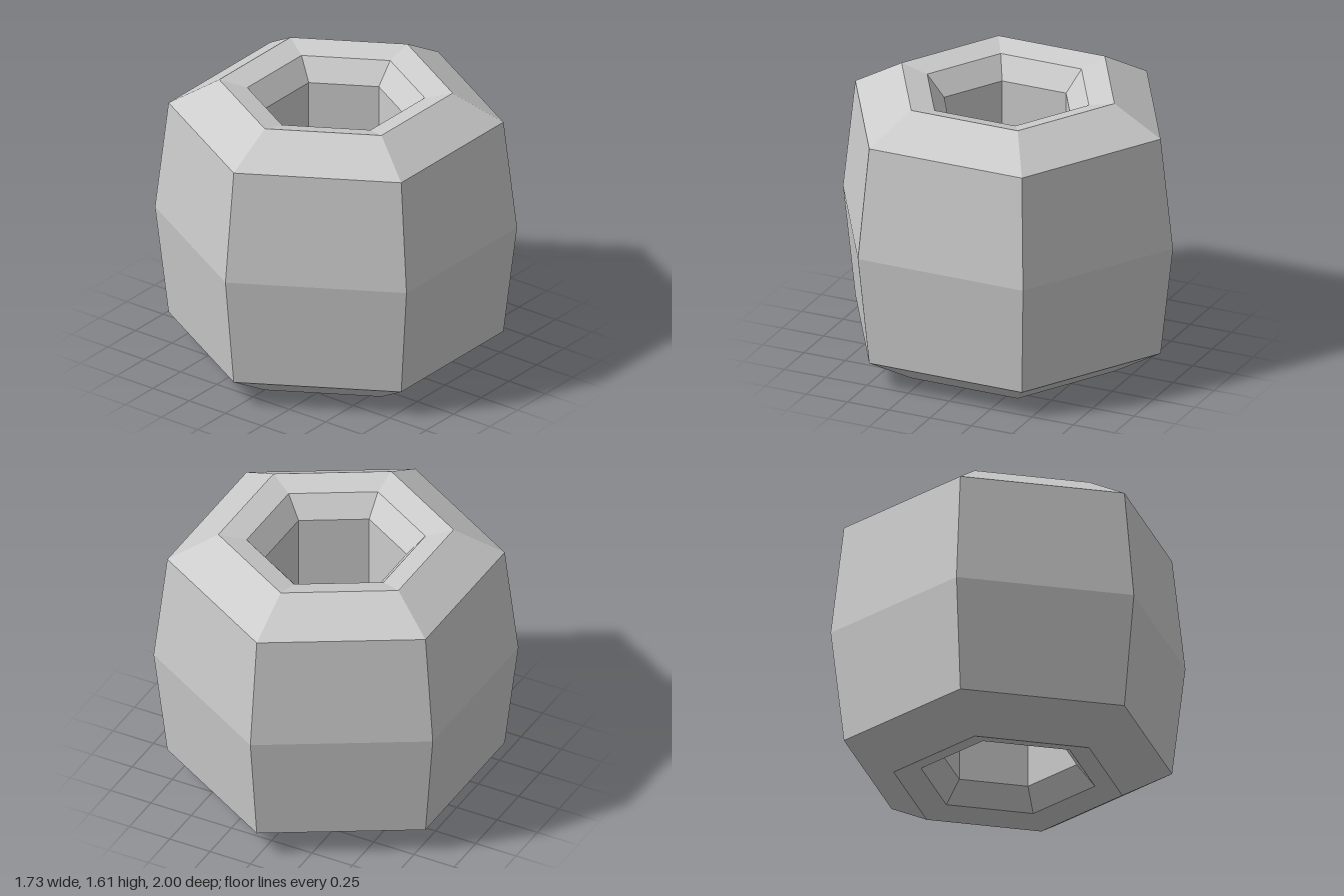
import * as THREE from 'three';

// Hexagonal barrel ring with a bevelled through-hole
export function createModel() {
  const group = new THREE.Group();
  group.name = 'hexBead';
  const material = new THREE.MeshStandardMaterial({ color: 0xcccccc, flatShading: true });

  const height = 1.605;
  // Upper half of the section, from outer waist over the rim into the bore: [radius, y]
  const upper = [[1, height / 2], [0.925, 1.445], [0.645, height], [0.49, 1.566], [0.387, 1.447]];
  // Lower half mirrors the upper one
  const lower = upper.slice(1).reverse().map(([r, y]) => [r, height - y]);
  // Closed loop, ending where it begins
  const profile = [...lower, ...upper, lower[0]].map(([r, y]) => new THREE.Vector2(r, y));

  const body = new THREE.Mesh(new THREE.LatheGeometry(profile, 6), material);
  body.name = 'beadBody';
  group.add(body);
  return group;
}
